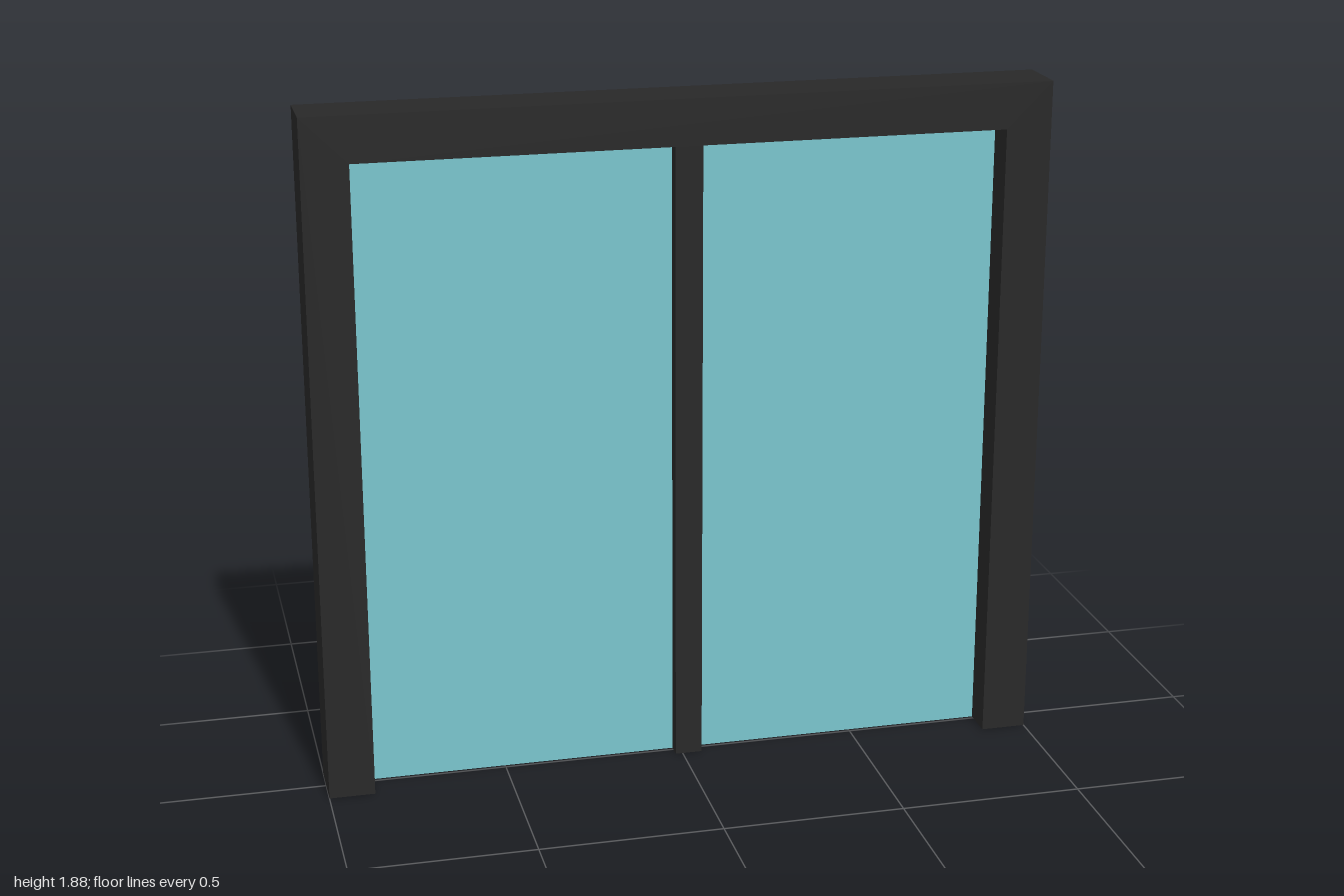
import * as THREE from 'three';

const FRONT = 0.08, BACK = -0.08, GLASS = -0.01;
const HEIGHT = 1.88, OPEN_X = 0.875, OPEN_Y = 1.755;
const MULLION = { left: -0.02, right: 0.055, front: 0.03 };

const dark = new THREE.MeshStandardMaterial({ color: 0x282828, side: THREE.DoubleSide });
const glass = new THREE.MeshStandardMaterial({ color: 0x7ac5cd, side: THREE.DoubleSide });

export function createModel() {
  const model = new THREE.Group();
  model.name = 'slidingDoor';

  function add(parent, name, geometry, material) {
    const mesh = new THREE.Mesh(geometry, material);
    mesh.name = name;
    parent.add(mesh);
  }

  // Upright sheet facing the front
  function sheet(parent, name, x0, x1, y1, z, material) {
    const g = new THREE.PlaneGeometry(x1 - x0, y1);
    g.translate((x0 + x1) / 2, y1 / 2, z);
    add(parent, name, g, material);
  }

  // Vertical sheet running from front to back
  function sideWall(parent, name, x, y1, z0, z1) {
    const g = new THREE.PlaneGeometry(z1 - z0, y1);
    g.rotateY(x < 0 ? -Math.PI / 2 : Math.PI / 2);
    g.translate(x, y1 / 2, (z0 + z1) / 2);
    add(parent, name, g, dark);
  }

  // Horizontal sheet across the top
  function topWall(parent, name, halfX, y, z0, z1) {
    const g = new THREE.PlaneGeometry(2 * halfX, z1 - z0);
    g.rotateX(-Math.PI / 2);
    g.translate(0, y, (z0 + z1) / 2);
    add(parent, name, g, dark);
  }

  // Folded frame, open at the back and at the feet
  const frame = new THREE.Group();
  frame.name = 'frame';
  model.add(frame);
  const face = new THREE.Shape([
    [-1, 0], [-OPEN_X, 0], [-OPEN_X, OPEN_Y], [OPEN_X, OPEN_Y],
    [OPEN_X, 0], [1, 0], [1, HEIGHT], [-1, HEIGHT],
  ].map(([x, y]) => new THREE.Vector2(x, y)));
  add(frame, 'frameFace', new THREE.ShapeGeometry(face).translate(0, 0, FRONT), dark);
  for (const [side, s] of [['left', 1], ['right', -1]]) {
    sideWall(frame, side + 'OuterWall', s, HEIGHT, BACK, FRONT);
    sideWall(frame, side + 'Reveal', s * OPEN_X, OPEN_Y, GLASS, FRONT);
  }
  topWall(frame, 'topOuterWall', 1, HEIGHT, BACK, FRONT);
  topWall(frame, 'topReveal', OPEN_X, OPEN_Y, GLASS, FRONT);

  // Central channel, open at the back
  const mullion = new THREE.Group();
  mullion.name = 'mullion';
  model.add(mullion);
  sheet(mullion, 'mullionFace', MULLION.left, MULLION.right, OPEN_Y, MULLION.front, dark);
  sideWall(mullion, 'mullionRightWall', MULLION.left, OPEN_Y, GLASS, MULLION.front);
  sideWall(mullion, 'mullionLeftWall', MULLION.right, OPEN_Y, GLASS, MULLION.front);

  // Two panes, one on each side of the mullion
  sheet(model, 'rightPane', -OPEN_X, MULLION.left, OPEN_Y, GLASS, glass);
  sheet(model, 'leftPane', MULLION.right, OPEN_X, OPEN_Y, GLASS, glass);

  return model;
}
